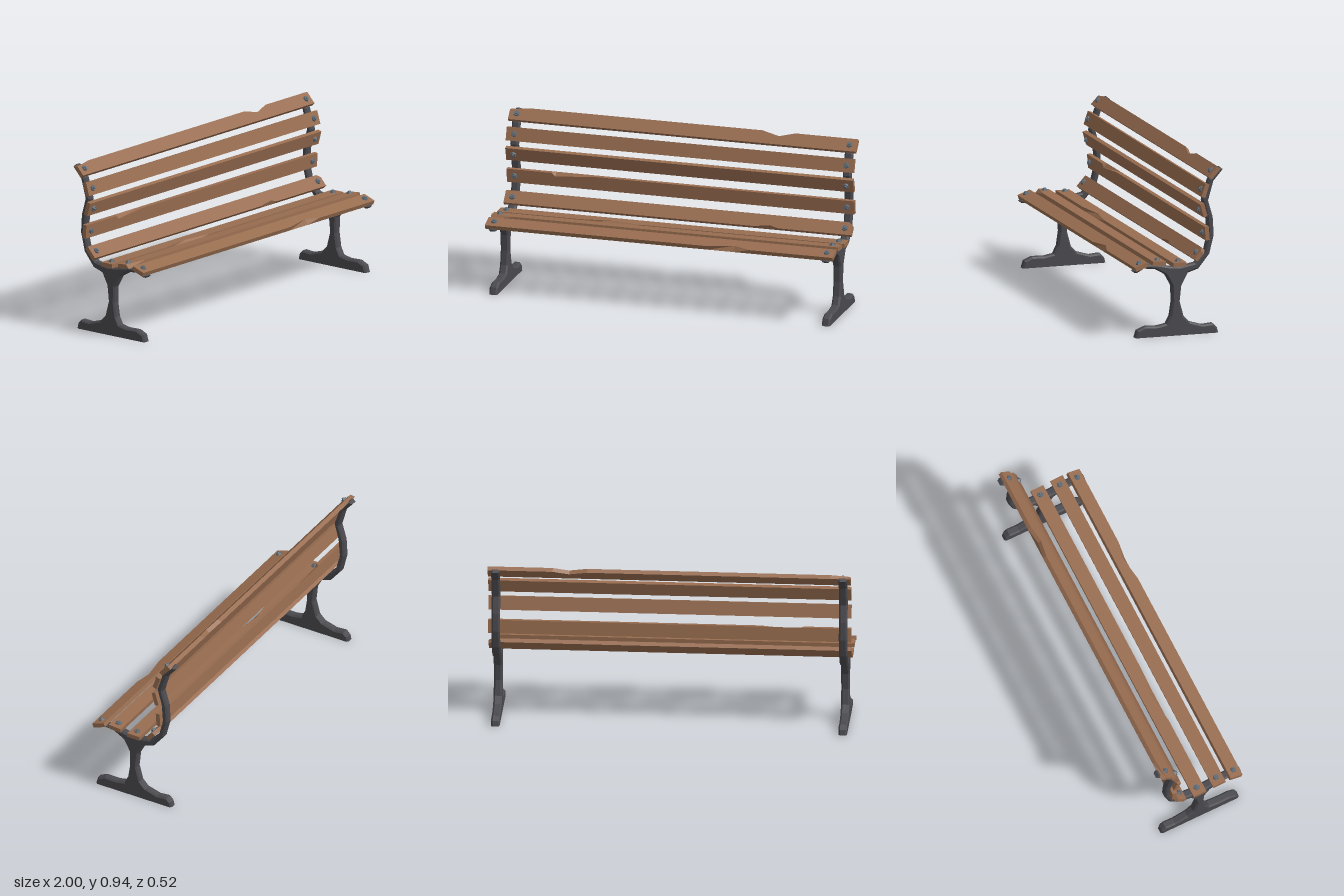
import * as THREE from 'three';

const wood = new THREE.MeshStandardMaterial({ color: 0x986d50 });
wood.name = 'wood';
const iron = new THREE.MeshStandardMaterial({ color: 0x4a4a4f });
iron.name = 'iron';
const steel = new THREE.MeshStandardMaterial({ color: 0x626d77 });
steel.name = 'steel';

const FRAME_X = 0.957;
const LENGTH = 2, THICK = 0.024, WIDTH = 0.077;

// Side outline of the cast frame as [z, y]: foot, column, seat arm, back, and down again
const OUTLINE = [
  [0.247, 0], [0.235, 0.04], [0.19, 0.06], [0.115, 0.058], [0.065, 0.068], [0.043, 0.11],
  [0.031, 0.19], [0.034, 0.28], [0.07, 0.345], [0.132, 0.38], [0.196, 0.388], [0.235, 0.366],
  [0.25, 0.367], [0.262, 0.378], [0.2, 0.408], [0.13, 0.407], [0.05, 0.39], [-0.02, 0.385],
  [-0.1, 0.4], [-0.155, 0.456], [-0.178, 0.55], [-0.17, 0.65], [-0.144, 0.748], [-0.18, 0.865],
  [-0.235, 0.925], [-0.245, 0.93], [-0.262, 0.916], [-0.208, 0.854], [-0.177, 0.745],
  [-0.204, 0.652], [-0.21, 0.55], [-0.184, 0.446], [-0.12, 0.367], [-0.058, 0.347],
  [-0.022, 0.28], [-0.012, 0.19], [-0.035, 0.105], [-0.07, 0.07], [-0.145, 0.048],
  [-0.205, 0.053], [-0.228, 0.03], [-0.235, 0],
];

// Slats from seat front to back top: centre, and tilt in degrees (0 = lying, 90 = upright).
// A chip pushes one long edge inwards (edge 1 = front/bottom, -1 = back/top);
// points are [x, depth]; 'through' chips cut the whole thickness.
const SLATS = [
  { z: 0.216, y: 0.403, tilt: 20, chips: [{ edge: 1, points: [[0.28, 0], [0.43, 0.026], [0.52, 0]] }] },
  { z: 0.115, y: 0.415, tilt: -5, chips: [{ edge: 1, points: [[-1, 0.02], [-0.86, 0]] }] },
  { z: -0.005, y: 0.401, tilt: 0, chips: [{ edge: 1, points: [[-0.54, 0], [-0.35, 0.024], [-0.16, 0]] }] },
  {
    z: -0.122, y: 0.448, tilt: 48, chips: [
      { edge: 1, points: [[0.44, 0], [0.53, 0.014], [0.58, 0]] },
      { edge: -1, through: true, points: [[0.975, 0], [1, 0.02]] },
    ],
  },
  { z: -0.163, y: 0.566, tilt: 94, chips: [{ edge: -1, points: [[-0.74, 0], [-0.72, 0.02], [-0.5, 0]] }] },
  { z: -0.144, y: 0.697, tilt: 106, chips: [] },
  { z: -0.152, y: 0.806, tilt: 72, chips: [] },
  {
    z: -0.206, y: 0.903, tilt: 47, chips: [
      { edge: -1, points: [[-1, 0.016], [-0.89, 0]] },
      { edge: -1, through: true, points: [[0.45, 0], [0.55, 0.026], [0.64, 0]] },
    ],
  },
];

function frameGeometry() {
  const bevel = 0.009, depth = 0.029;
  const shape = new THREE.Shape(OUTLINE.map(([z, y]) => new THREE.Vector2(z, y)));
  const geo = new THREE.ExtrudeGeometry(shape, {
    depth, bevelEnabled: true, bevelSegments: 1,
    bevelSize: bevel, bevelThickness: bevel, bevelOffset: -bevel,
  });
  geo.translate(0, 0, -depth / 2);
  geo.rotateY(-Math.PI / 2);
  // Keep the sole of the foot flat on the ground
  const p = geo.attributes.position;
  for (let i = 0; i < p.count; i++) if (p.getY(i) < 0.02) p.setY(i, 0);
  geo.computeVertexNormals();
  return geo;
}

function slatGeometry(chips) {
  const stations = [...new Set([-1, 1, ...chips.flatMap(c => c.points.map(q => q[0]))])].sort((a, b) => a - b);
  const n = stations.length - 1;
  const box = new THREE.BoxGeometry(LENGTH, THICK, WIDTH, n, 1, 1);
  const p = box.attributes.position;
  for (let i = 0; i < p.count; i++) {
    const x = stations[Math.round((p.getX(i) / LENGTH + 0.5) * n)];
    const y = p.getY(i), side = Math.sign(p.getZ(i));
    p.setX(i, x);
    for (const c of chips) {
      const hit = c.points.find(q => q[0] === x);
      if (hit && side === c.edge && (c.through || y > 0)) p.setZ(i, p.getZ(i) - side * hit[1]);
    }
  }
  const geo = box.toNonIndexed();
  geo.computeVertexNormals();
  return geo;
}

export function createModel() {
  const bench = new THREE.Group();
  bench.name = 'bench';

  // Cast iron end frames
  const frameGeo = frameGeometry();
  for (const s of [1, -1]) {
    const frame = new THREE.Mesh(frameGeo, iron);
    frame.name = s > 0 ? 'leftFrame' : 'rightFrame';
    frame.position.x = s * FRAME_X;
    bench.add(frame);
  }

  // Slats, each bolted to both frames
  const headGeo = new THREE.CylinderGeometry(0.015, 0.018, 0.009, 6).toNonIndexed();
  const tipGeo = new THREE.CylinderGeometry(0.007, 0.009, 0.006, 6).toNonIndexed();
  headGeo.computeVertexNormals();
  tipGeo.computeVertexNormals();
  SLATS.forEach(({ z, y, tilt, chips }, i) => {
    const group = new THREE.Group();
    group.name = (i < 3 ? 'seatSlat' : 'backSlat') + (i + 1);
    group.position.set(0, y, z);
    group.rotation.x = THREE.MathUtils.degToRad(tilt);
    const board = new THREE.Mesh(slatGeometry(chips), wood);
    board.name = 'board';
    group.add(board);
    for (const s of [1, -1]) {
      const head = new THREE.Mesh(headGeo, steel);
      head.name = 'boltHead';
      head.position.set(s * FRAME_X, THICK / 2 + 0.0045, 0);
      const tip = new THREE.Mesh(tipGeo, steel);
      tip.name = 'boltTip';
      tip.position.set(s * FRAME_X, THICK / 2 + 0.012, 0);
      group.add(head, tip);
    }
    bench.add(group);
  });

  return bench;
}
